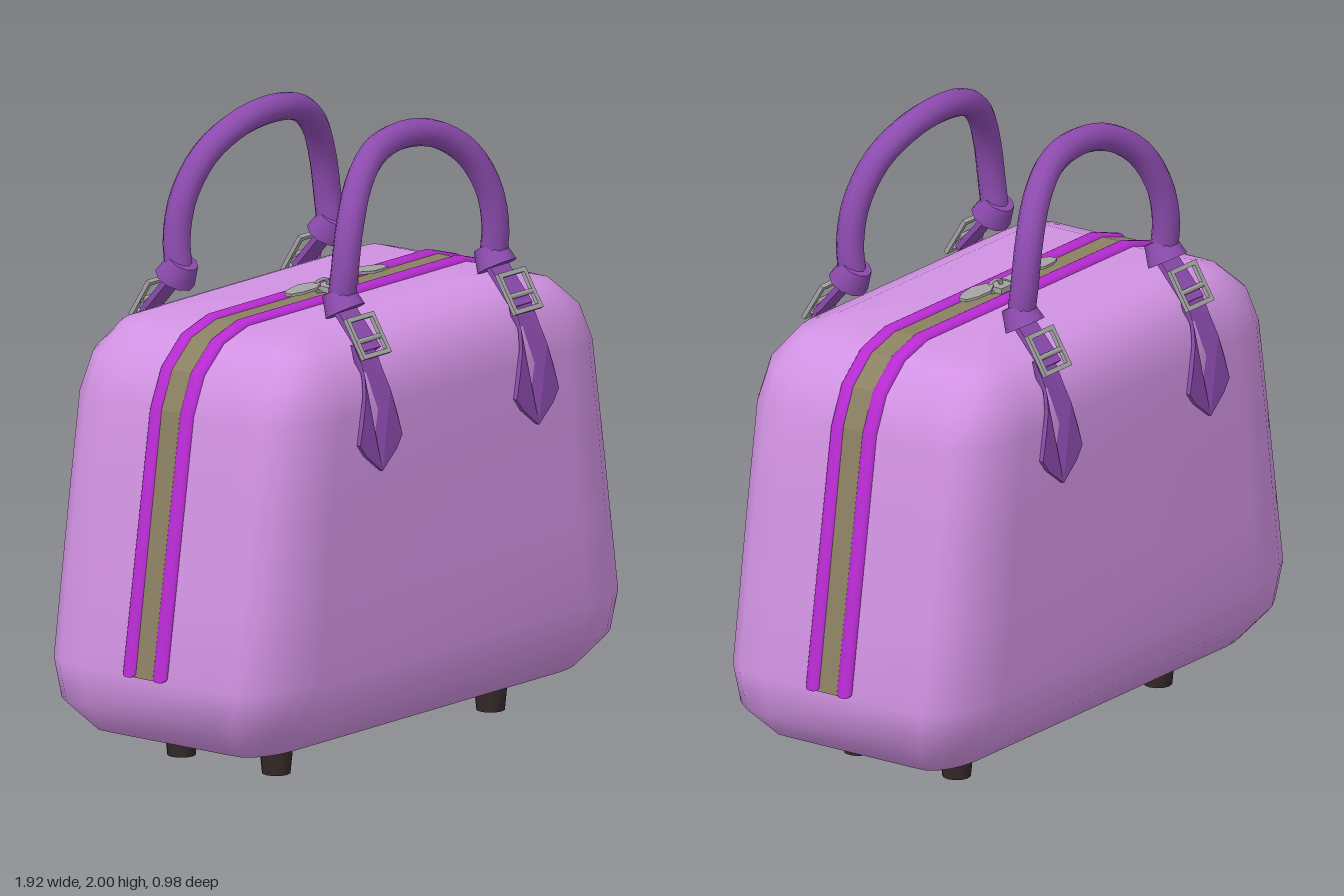
import * as THREE from 'three';
import { mergeVertices, toCreasedNormals } from 'three/addons/utils/BufferGeometryUtils.js';

const mat = (name, color, side = THREE.FrontSide) => {
  const m = new THREE.MeshStandardMaterial({ color, side });
  m.name = name;
  return m;
};

export function createModel() {
  const shell = mat('lilac leather', 0xd192e2);
  const strapMat = mat('purple leather', 0x8c4bae, THREE.DoubleSide);
  const pipingMat = mat('magenta piping', 0xb62bd0);
  const tape = mat('olive zip tape', 0x8a8062);
  const metal = mat('grey metal', 0xa3a3a3);
  const rubber = mat('dark rubber', 0x352929);

  const root = new THREE.Group();
  root.name = 'handbag';
  const add = (parent, name, geo, material, x = 0, y = 0, z = 0) => {
    const m = new THREE.Mesh(geo, material);
    m.name = name;
    m.position.set(x, y, z);
    parent.add(m);
    return m;
  };

  // Body: rounded rectangular rings stacked upward [y, half width, half depth, core width, core depth]
  const levels = [
    [0.09, 0.69, 0.24, 0.66, 0.22], [0.12, 0.825, 0.36, 0.66, 0.23],
    [0.22, 0.925, 0.45, 0.66, 0.25], [0.35, 0.943, 0.475, 0.66, 0.26],
    [0.62, 0.9, 0.475, 0.63, 0.26], [0.9, 0.855, 0.475, 0.6, 0.26],
    [1.18, 0.81, 0.474, 0.56, 0.26], [1.3, 0.757, 0.452, 0.54, 0.26],
    [1.385, 0.66, 0.385, 0.52, 0.26], [1.42, 0.54, 0.29, 0.5, 0.26],
  ];
  const corner = [[1, 0], [0.98, 0.42], [0.82, 0.69], [0.58, 0.86], [0.3, 0.96], [0, 1]];
  const pos = [], idx = [];
  const ringSize = corner.length * 4;
  for (const [y, hx, hz, cx, cz] of levels) {
    for (let q = 0; q < 4; q++) {
      const pts = q % 2 ? [...corner].reverse() : corner;
      const sx = q === 0 || q === 3 ? 1 : -1, sz = q < 2 ? 1 : -1;
      for (const [u, v] of pts) pos.push(sx * (cx + (hx - cx) * u), y, sz * (cz + (hz - cz) * v));
    }
  }
  for (let r = 0; r < levels.length - 1; r++) {
    for (let i = 0; i < ringSize; i++) {
      const a = r * ringSize + i, b = r * ringSize + (i + 1) % ringSize;
      idx.push(a, a + ringSize, b, b, a + ringSize, b + ringSize);
    }
  }
  const last = (levels.length - 1) * ringSize, mid = pos.length / 3;
  pos.push(0, 0.09, 0, 0, 1.42, 0);
  for (let i = 0; i < ringSize; i++) {
    const j = (i + 1) % ringSize;
    idx.push(mid, i, j, mid + 1, last + j, last + i);
  }
  let bodyGeo = new THREE.BufferGeometry();
  bodyGeo.setAttribute('position', new THREE.Float32BufferAttribute(pos, 3));
  bodyGeo.setIndex(idx);
  bodyGeo = mergeVertices(bodyGeo, 1e-4);
  bodyGeo.computeVertexNormals();
  add(root, 'body', bodyGeo, shell);

  // Zip band and piping follow the sides and top of the body
  const side = [[0.943, 0.35], [0.81, 1.18], [0.757, 1.3], [0.66, 1.385], [0.54, 1.42]];
  const outline = (grow, bottom) => {
    const s = new THREE.Shape();
    const right = side.map(([x, y], i) => [x + grow, i ? y + grow * 0.7 : bottom]);
    [...right, ...right.map(([x, y]) => [-x, y]).reverse()]
      .forEach(([x, y], i) => (i ? s.lineTo(x, y) : s.moveTo(x, y)));
    return s;
  };
  add(root, 'zipTape', new THREE.ExtrudeGeometry(outline(0.006, 0.35), { depth: 0.08, bevelEnabled: false }),
    tape, 0, 0, -0.04);
  for (const z of [-0.06, 0.06]) {
    const g = new THREE.ExtrudeGeometry(outline(-0.004, 0.366), {
      depth: 0.012, bevelThickness: 0.022, bevelSize: 0.018, bevelSegments: 4,
    });
    add(root, 'piping', toCreasedNormals(g, 0.7), pipingMat, 0, 0, z - 0.006);
  }

  // Feet
  for (const x of [-0.53, 0.53]) for (const z of [-0.19, 0.19]) {
    add(root, 'foot', toCreasedNormals(new THREE.CylinderGeometry(0.056, 0.045, 0.11, 12), 0.7), rubber, x, 0.055, z);
  }

  // Zip sliders with flat pulls
  const pullShape = new THREE.Shape([[0.09, -0.012], [0.14, -0.036], [0.2, -0.03], [0.24, -0.014],
    [0.24, 0.014], [0.2, 0.03], [0.14, 0.036], [0.09, 0.012]].map(p => new THREE.Vector2(...p)));
  for (const s of [0, Math.PI]) {
    const slider = new THREE.Group();
    slider.name = 'zipSlider';
    slider.rotation.y = s;
    add(slider, 'sliderBody', new THREE.BoxGeometry(0.07, 0.018, 0.06), metal, 0.04, 1.435, 0);
    const loop = add(slider, 'sliderLoop', new THREE.TorusGeometry(0.022, 0.006, 6, 12), metal, 0.07, 1.446, 0);
    loop.scale.set(1.5, 0.9, 1);
    const pull = add(slider, 'pull', new THREE.ExtrudeGeometry(pullShape, { depth: 0.009, bevelEnabled: false }),
      metal, 0, 1.455, 0);
    pull.rotation.set(-Math.PI / 2, 0.05, 0);
    root.add(slider);
  }

  // Anchor tab outline (one half), bent to lie on the body
  const tabHalf = [[0.045, 1.39], [0.043, 1.34], [0.045, 1.3], [0.06, 1.24], [0.083, 1.16], [0.104, 1.085], [0.075, 1.045]];
  const tabPts = [...tabHalf, [0, 0.985], ...tabHalf.map(([x, y]) => [-x, y]).reverse()]
    .map(([x, y]) => new THREE.Vector2(x, y)).reverse();
  const tabGeo = new THREE.ExtrudeGeometry(new THREE.Shape(tabPts), { depth: 0.014, bevelEnabled: false });
  const tp = tabGeo.attributes.position;
  for (let i = 0; i < tp.count; i++) {
    const y = tp.getY(i), over = Math.max(0, y - 1.18);
    tp.setZ(i, tp.getZ(i) + 0.477 - 1.35 * over * over);
    tp.setX(i, tp.getX(i) + (1.39 - y) * 0.06);
  }
  tabGeo.computeVertexNormals();

  // Rectangular buckle frame with a hole
  const rect = (P, w, h) => {
    const p = new P();
    p.moveTo(-w, -h).lineTo(w, -h).lineTo(w, h).lineTo(-w, h).closePath();
    return p;
  };
  const frame = rect(THREE.Shape, 0.068, 0.07);
  frame.holes.push(rect(THREE.Path, 0.052, 0.055));
  const frameGeo = new THREE.ExtrudeGeometry(frame, { depth: 0.014, bevelEnabled: false });

  const handlePath = new THREE.CatmullRomCurve3([
    [-0.375, 1.5, 0.325], [-0.373, 1.6, 0.337], [-0.345, 1.73, 0.333], [-0.27, 1.855, 0.308],
    [-0.15, 1.933, 0.277], [0, 1.957, 0.266], [0.15, 1.933, 0.277], [0.27, 1.855, 0.308],
    [0.345, 1.73, 0.333], [0.373, 1.6, 0.337], [0.375, 1.5, 0.325],
  ].map(p => new THREE.Vector3(...p)));

  // One handle with fittings, repeated on the back
  for (const turn of [0, Math.PI]) {
    const set = new THREE.Group();
    set.name = turn ? 'backHandle' : 'frontHandle';
    set.rotation.y = turn;
    add(set, 'grip', new THREE.TubeGeometry(handlePath, 32, 0.044, 12), strapMat);
    for (const s of [-1, 1]) {
      const end = new THREE.Group();
      end.name = 'handleAnchor';
      end.position.x = s * 0.375;
      const tab = add(end, 'tab', tabGeo, strapMat);
      if (s < 0) {
        tab.rotation.y = 0;
        tab.position.x = -0.024;
      }
      // Strap running from the tab through the buckle to the collar
      const strap = add(end, 'strap', new THREE.BoxGeometry(0.09, 0.19, 0.018), strapMat, 0, 1.435, 0.378);
      strap.rotation.x = -0.72;
      const collar = add(end, 'collar',
        toCreasedNormals(new THREE.CylinderGeometry(0.05, 0.066, 0.07, 10), 0.8), strapMat, 0, 1.505, 0.325);
      collar.rotation.x = -0.5;
      const buckle = add(end, 'buckle', frameGeo, metal, 0, 1.405, 0.425);
      buckle.rotation.x = -0.55;
      const pin = add(end, 'bucklePin', new THREE.CylinderGeometry(0.009, 0.009, 0.13, 8), metal, 0, 1.4, 0.435);
      pin.rotation.z = Math.PI / 2;
      set.add(end);
    }
    root.add(set);
  }
  return root;
}
